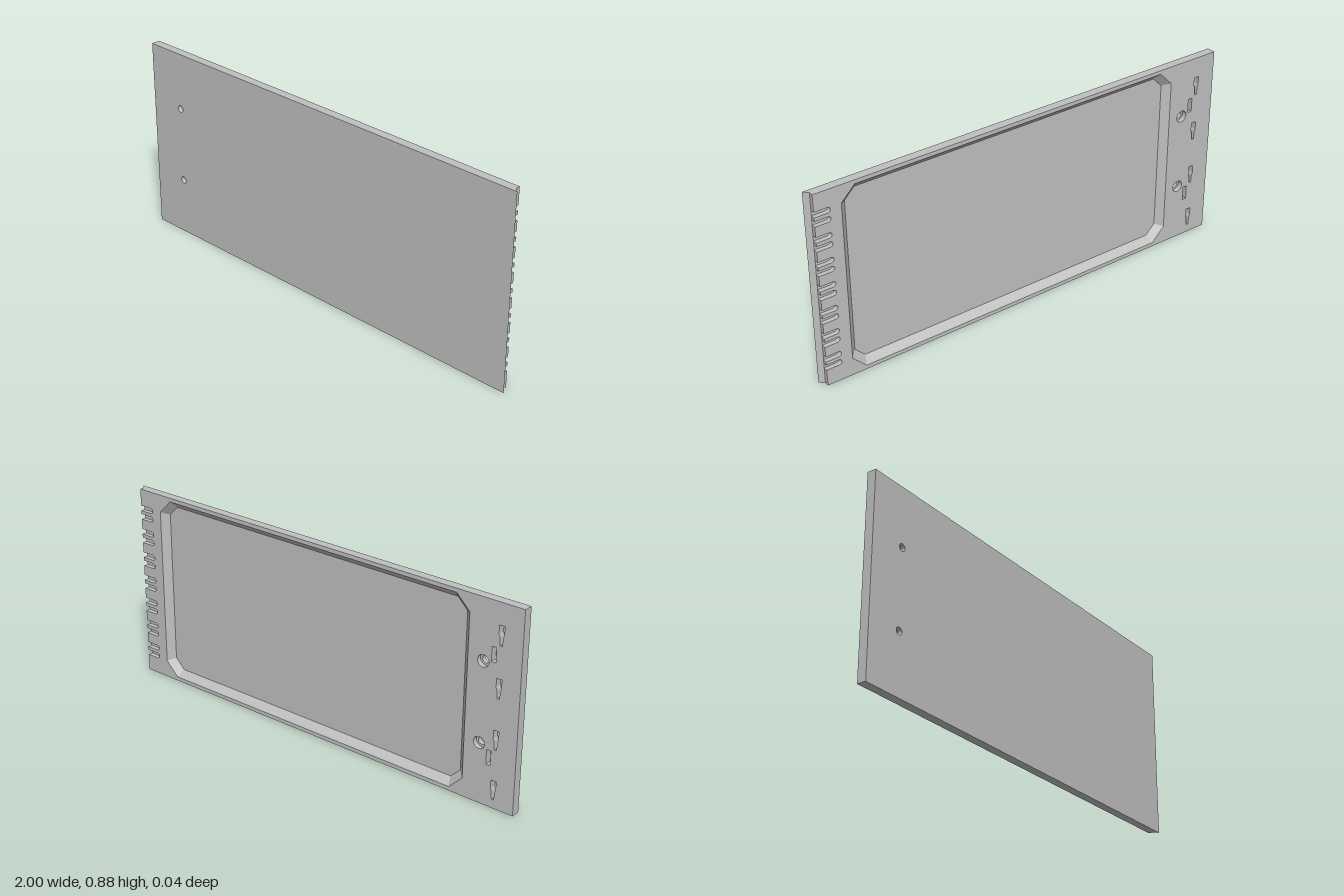
import * as THREE from 'three';

const H = 0.875, BACK = -0.02, MID = 0, FLOOR = 0.01, FRONT = 0.02, EDGE = 0.98;

export function createModel() {
  const group = new THREE.Group();
  const grey = new THREE.MeshStandardMaterial({ color: 0xc0c0c0 });
  grey.name = 'panel grey';

  const add = (geometry, name) => {
    const mesh = new THREE.Mesh(geometry, grey);
    mesh.name = name;
    group.add(mesh);
  };
  const P = (x, y) => new THREE.Vector2(x, y);
  const poly = pairs => pairs.map(([x, y]) => P(x, y));
  const circle = (x, y, r, n = 28) => Array.from({ length: n }, (_, i) => {
    const a = i / n * Math.PI * 2;
    return P(x + r * Math.cos(a), y + r * Math.sin(a));
  });

  // flat face at depth z, looking to the front or the back
  const face = (name, outline, z, toBack, holes = []) => {
    const shape = new THREE.Shape(outline);
    holes.forEach(h => shape.holes.push(new THREE.Path(h)));
    const g = new THREE.ShapeGeometry(shape);
    g.translate(0, 0, z);
    if (toBack) {
      const ix = g.index.array;
      for (let i = 0; i < ix.length; i += 3) [ix[i], ix[i + 1]] = [ix[i + 1], ix[i]];
      g.computeVertexNormals();
    }
    add(g, name);
  };

  // wall joining two counter-clockwise loops; inward for hollows
  const wall = (name, back, zb, front, zf, inward) => {
    const pos = [], n = back.length;
    for (let i = 0; i < n; i++) {
      const j = (i + 1) % n;
      const a = [back[i].x, back[i].y, zb], b = [back[j].x, back[j].y, zb];
      const c = [front[j].x, front[j].y, zf], d = [front[i].x, front[i].y, zf];
      pos.push(...(inward ? [a, c, b, a, d, c] : [a, b, c, a, c, d]).flat());
    }
    const g = new THREE.BufferGeometry();
    g.setAttribute('position', new THREE.Float32BufferAttribute(pos, 3));
    g.computeVertexNormals();
    add(g, name);
  };

  // paired round-ended notches along the joining edge
  const edgePoints = [];
  for (let k = 0; k < 7; k++) {
    for (const s of [-1, 1]) {
      const y = 0.107 + k * 0.11 + s * 0.02, r = 0.012;
      const slot = [P(EDGE, y - r)];
      for (let i = 0; i <= 8; i++) {
        const a = -Math.PI / 2 - i / 8 * Math.PI;
        slot.push(P(0.922 + r * Math.cos(a), y + r * Math.sin(a)));
      }
      slot.push(P(EDGE, y + r));
      edgePoints.push(...slot);
      face('notchFloor', slot, MID, true);
    }
  }

  // outer sides, with the sloped lip on the joining edge
  const rect = x => poly([[-1, 0], [x, 0], [x, H], [-1, H]]);
  const backOutline = [P(-1, 0), P(EDGE, 0), ...edgePoints, P(EDGE, H), P(-1, H)];
  wall('rearSides', backOutline, BACK, backOutline, MID, false);
  wall('frontSides', rect(EDGE), MID, rect(1), FRONT, false);

  // large recess with cut corners and sloped walls
  const octagon = (inset, cut) => {
    const l = -0.76 + inset, r = 0.862 - inset, b = 0.018 + inset, t = 0.858 - inset;
    return poly([[l + cut, b], [r - cut, b], [r, b + cut], [r, t - cut],
      [r - cut, t], [l + cut, t], [l, t - cut], [l, b + cut]]);
  };
  const rim = octagon(0, 0.062), bed = octagon(0.03, 0.045);
  wall('recessWalls', rim, BACK, bed, FLOOR, true);
  face('recessFloor', bed, FLOOR, true);
  const backHoles = [rim], frontHoles = [];

  // counterbored screw holes
  for (const y of [0.265, 0.615]) {
    const wide = circle(-0.83, y, 0.026), narrow = circle(-0.83, y, 0.016);
    wall('counterbore', wide, BACK, wide, MID, true);
    face('counterboreLedge', wide, MID, true, [narrow]);
    wall('screwHole', narrow, MID, narrow, FRONT, true);
    backHoles.push(wide);
    frontHoles.push(narrow);
  }

  // blind pockets: four stepped keyways and two short slots
  const pocket = (name, loop) => {
    wall(name + 'Walls', loop, BACK, loop, FLOOR, true);
    face(name + 'Floor', loop, FLOOR, true);
    backHoles.push(loop);
  };
  for (const y of [0.08, 0.3, 0.52, 0.74]) {
    pocket('keyway', poly([[-0.91, y - 0.042], [-0.9, y - 0.042], [-0.897, y - 0.005],
      [-0.893, y + 0.005], [-0.893, y + 0.042], [-0.917, y + 0.042],
      [-0.917, y + 0.005], [-0.913, y - 0.005]]));
  }
  for (const y of [0.215, 0.655]) {
    pocket('slot', poly([[-0.886, y - 0.032], [-0.866, y - 0.032],
      [-0.866, y + 0.032], [-0.886, y + 0.032]]));
  }

  face('backFace', backOutline, BACK, true, backHoles);
  face('frontFace', rect(1), FRONT, false, frontHoles);
  return group;
}
